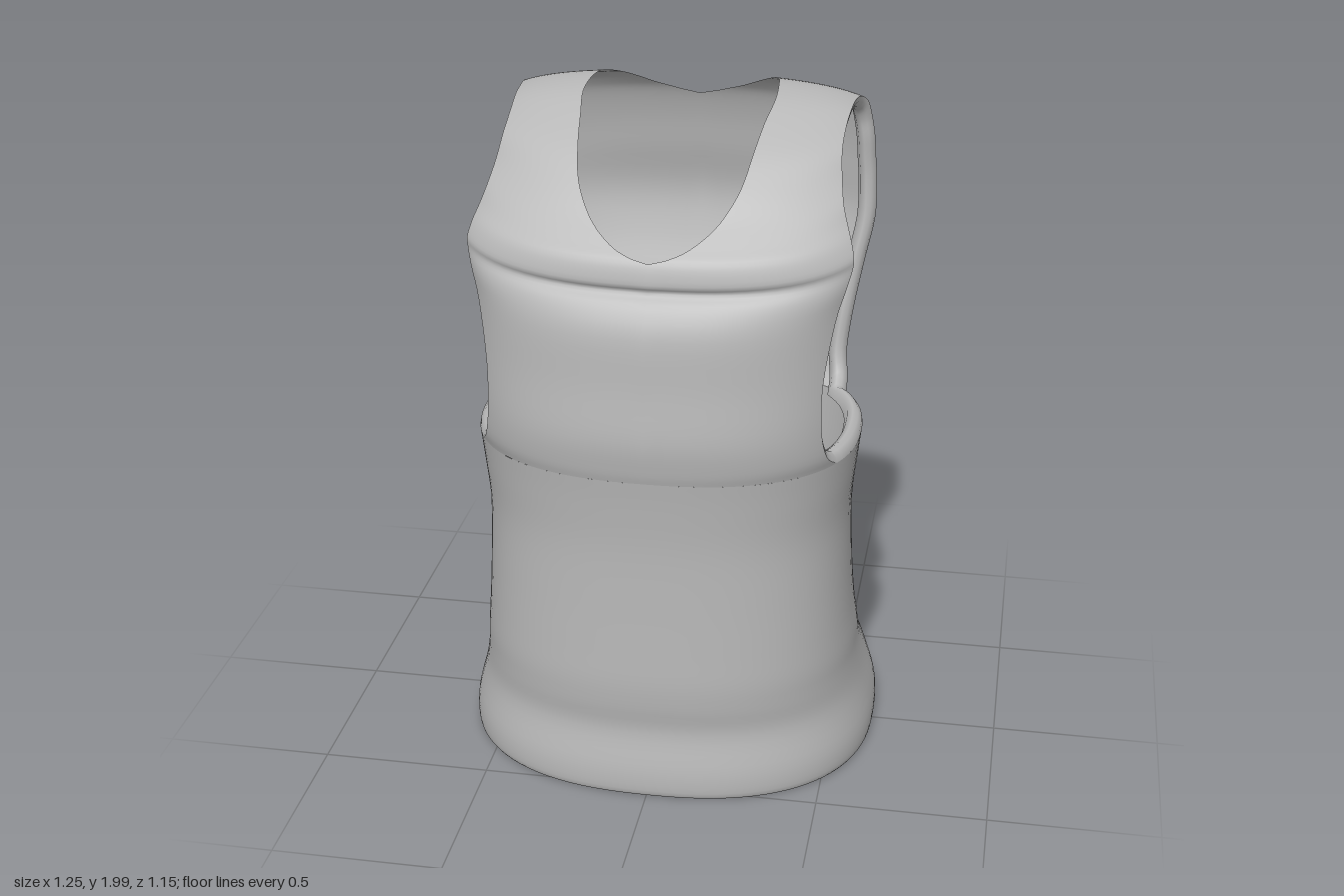
import * as THREE from 'three';

const POWER = 2.4; // roundness of the torso cross-section
const ROOT = 1 / POWER;

// Torso rings: y, front z, back z, half width, z of the widest point
const TORSO = [
  [0.00, 0.53, -0.55, 0.600, 0.00], [0.005, 0.55, -0.57, 0.620, 0.00],
  [0.08, 0.55, -0.575, 0.620, 0.00], [0.20, 0.53, -0.535, 0.588, 0.02],
  [0.29, 0.54, -0.43, 0.570, 0.05], [0.37, 0.545, -0.355, 0.563, 0.07],
  [0.47, 0.543, -0.32, 0.552, 0.09], [0.62, 0.54, -0.31, 0.542, 0.10],
  [0.80, 0.54, -0.31, 0.537, 0.10], [0.94, 0.55, -0.31, 0.550, 0.10],
  [1.03, 0.56, -0.31, 0.560, 0.10],
];

// Upper cloth, chest to shoulder: centre y, centre z, armhole edge x, y, z, half width of neck opening
const CHEST = [
  [1.03, 0.56, 0.513, 1.03, 0.33, 0], [1.07, 0.568, 0.49, 1.07, 0.385, 0],
  [1.16, 0.575, 0.475, 1.16, 0.41, 0], [1.30, 0.56, 0.475, 1.30, 0.405, 0],
  [1.45, 0.548, 0.50, 1.47, 0.37, 0], [1.53, 0.515, 0.525, 1.56, 0.345, 0],
  [1.565, 0.482, 0.538, 1.61, 0.325, 0], [1.59, 0.49, 0.54, 1.64, 0.32, 0],
  [1.645, 0.475, 0.53, 1.68, 0.30, 0], [1.68, 0.44, 0.515, 1.72, 0.27, 0.11],
  [1.735, 0.38, 0.50, 1.765, 0.24, 0.18], [1.81, 0.31, 0.488, 1.82, 0.18, 0.225],
  [1.885, 0.22, 0.48, 1.88, 0.12, 0.245], [1.945, 0.11, 0.48, 1.92, 0.03, 0.26],
];
// Same columns, shoulder and down the back
const BACK = [
  [1.985, 0.00, 0.485, 1.945, -0.06, 0.275], [2.00, -0.12, 0.49, 1.95, -0.15, 0.27],
  [1.99, -0.22, 0.50, 1.94, -0.22, 0.255], [1.955, -0.32, 0.515, 1.91, -0.275, 0.21],
  [1.92, -0.36, 0.525, 1.86, -0.30, 0.14], [1.88, -0.385, 0.535, 1.80, -0.305, 0],
  [1.80, -0.408, 0.54, 1.73, -0.31, 0], [1.70, -0.425, 0.545, 1.66, -0.31, 0],
  [1.56, -0.448, 0.545, 1.55, -0.30, 0], [1.42, -0.42, 0.52, 1.42, -0.28, 0],
  [1.28, -0.37, 0.495, 1.28, -0.255, 0], [1.15, -0.33, 0.48, 1.15, -0.235, 0],
  [1.07, -0.315, 0.488, 1.07, -0.20, 0], [1.03, -0.31, 0.489, 1.03, -0.14, 0],
];

// Catmull-Rom interpolation of every column of a table
function smoothRows(rows, steps) {
  const out = [];
  const at = (i) => rows[Math.min(rows.length - 1, Math.max(0, i))];
  for (let i = 0; i < rows.length - 1; i++) {
    for (let k = 0; k < steps; k++) {
      const t = k / steps;
      out.push(rows[i].map((b, c) => {
        const a = at(i - 1)[c], d = at(i + 1)[c], e = at(i + 2)[c];
        return b + 0.5 * t * (d - a + t * (2 * a - 5 * b + 4 * d - e + t * (3 * (b - d) + e - a)));
      }));
    }
  }
  out.push(rows[rows.length - 1]);
  return out;
}

// Surface through a list of equally long point rows
function gridGeometry(rows, closed, flip) {
  const n = rows[0].length, index = [];
  const last = closed ? n : n - 1;
  for (let i = 0; i < rows.length - 1; i++) {
    for (let j = 0; j < last; j++) {
      const k = (j + 1) % n;
      const a = i * n + j, b = i * n + k, c = (i + 1) * n + k, d = (i + 1) * n + j;
      if (flip) index.push(a, c, b, a, d, c);
      else index.push(a, b, c, a, c, d);
    }
  }
  const geo = new THREE.BufferGeometry();
  geo.setAttribute('position', new THREE.Float32BufferAttribute(rows.flat(2), 3));
  geo.setIndex(index);
  geo.computeVertexNormals();
  return geo;
}

// Torso half width at depth z on one ring
function torsoWidth([, zf, zb, w, zc], z) {
  const f = Math.abs((z - zc) / (z > zc ? zf - zc : zb - zc));
  return w * Math.pow(Math.max(0, 1 - Math.pow(f, POWER)), ROOT);
}

function torsoRing([y, zf, zb, w, zc], count) {
  const ring = [];
  for (let i = 0; i < count; i++) {
    const a = (i / count) * Math.PI * 2;
    const s = Math.sin(a), c = Math.cos(a);
    const x = Math.sign(s) * w * Math.pow(Math.abs(s), 2 * ROOT);
    const z = zc + Math.sign(c) * Math.pow(Math.abs(c), 2 * ROOT) * (c > 0 ? zf - zc : zc - zb);
    ring.push([x, y, z]);
  }
  return ring;
}

// One half of an upper cloth row, from neck opening (or centre) to armhole
function clothRow([cy, cz, ex, ey, ez, neckSq], side) {
  const neck = Math.sqrt(Math.max(0, neckSq)) / ex;
  const k = Math.min(ex / 0.56, 0.93);
  const drop = (s) => 1 - Math.pow(1 - Math.pow(k * s, POWER), ROOT);
  const row = [], count = 18;
  for (let j = 0; j <= count; j++) {
    const s = neck + (1 - neck) * Math.sin((j / count) * Math.PI / 2);
    const g = drop(s) / drop(1);
    row.push([side * ex * s, cy + (ey - cy) * g, cz + (ez - cz) * g]);
  }
  return row;
}

// Rounded lip that turns inward around an armhole
function lipRows(edge, side) {
  const profile = [[0, 0], [0.016, 0.003], [0.03, 0.014], [0.035, 0.03], [0.026, 0.046], [0, 0.055]];
  const n = edge.length;
  const inward = edge.map((p, i) => {
    const a = edge[(i + n - 2) % n], b = edge[(i + 2) % n];
    let ny = b[2] - a[2], nz = a[1] - b[1];
    const len = Math.hypot(ny, nz) || 1;
    const sign = ny * (1.45 - p[1]) + nz * (0.06 - p[2]) > 0 ? 1 : -1;
    return [sign * ny / len, sign * nz / len];
  });
  return profile.map(([d, inset]) => edge.map((p, i) =>
    [side * (p[0] - inset), p[1] + inward[i][0] * d, p[2] + inward[i][1] * d]));
}

export function createModel() {
  const group = new THREE.Group();
  const cloth = new THREE.MeshStandardMaterial({ color: 0xb8b8b8, side: THREE.DoubleSide });
  cloth.name = 'grey cloth';
  const add = (name, geo) => {
    const mesh = new THREE.Mesh(geo, cloth);
    mesh.name = name;
    group.add(mesh);
  };

  // Torso tube with flared hem
  add('torso', gridGeometry(smoothRows(TORSO, 4).map((r) => torsoRing(r, 96)), true, false));

  // Chest, straps and back; the neck column is squared so the neckline is round
  const table = [...CHEST, ...BACK].map((r) => [...r.slice(0, 5), r[5] * r[5]]);
  const upper = smoothRows(table, 4);

  // Armhole outline: cloth edge, then along the top of the torso side
  const edge = upper.map((r) => [r[2], r[3], r[4]]);
  const top = TORSO[TORSO.length - 1];
  for (let i = 1; i < 20; i++) {
    const z = -0.14 + (0.47 * i) / 20;
    edge.push([torsoWidth(top, z), top[0], z]);
  }

  for (const side of [1, -1]) {
    const label = side > 0 ? 'left' : 'right';
    add(label + 'UpperCloth', gridGeometry(upper.map((r) => clothRow(r, side)), false, side < 0));
    add(label + 'ArmholeLip', gridGeometry(lipRows(edge, side), true, side > 0));
  }
  return group;
}
